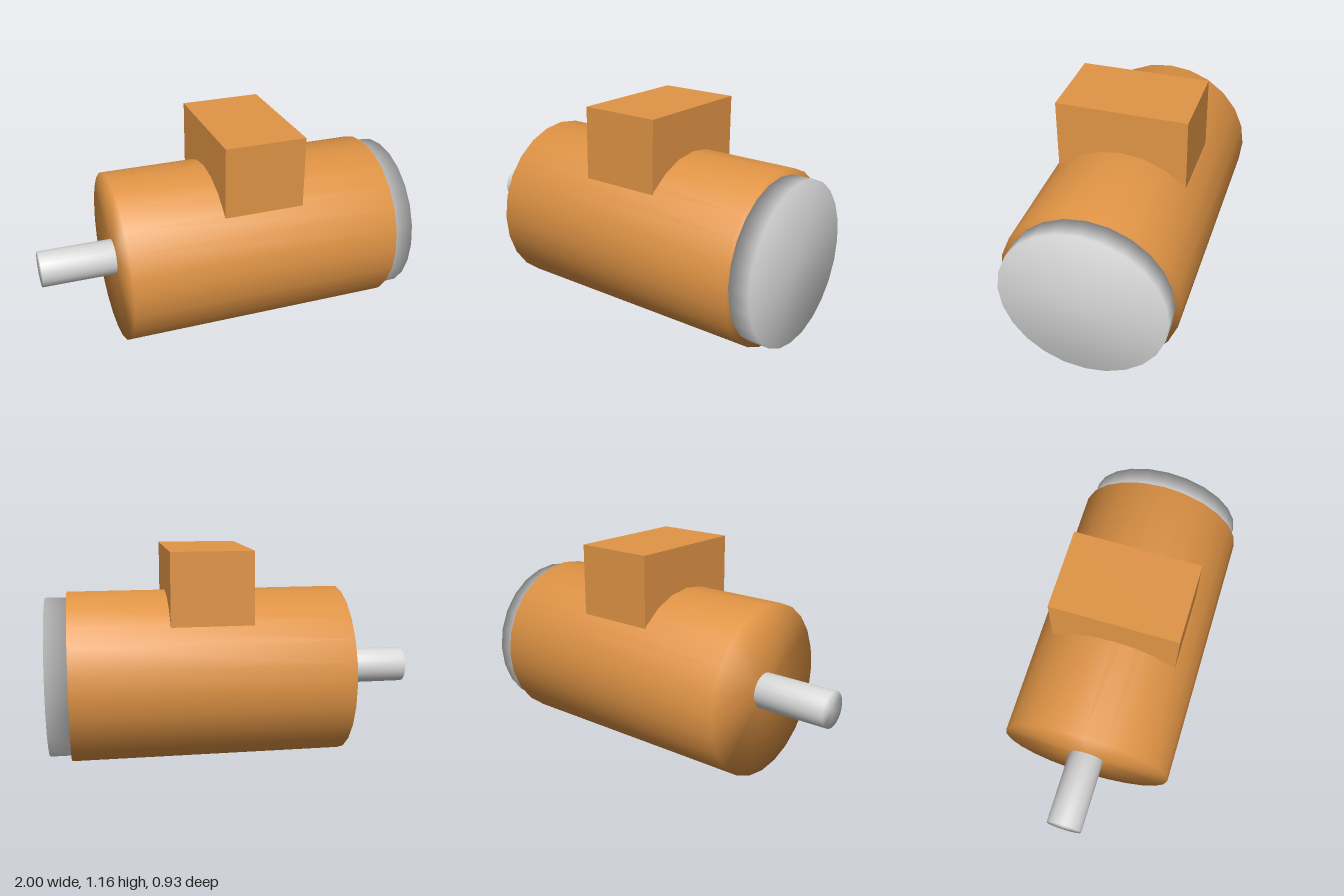
import * as THREE from 'three';
import { mergeVertices } from 'three/addons/utils/BufferGeometryUtils.js';

const AXIS_Y = 0.463; // height of the motor axis

// Cylinder along x between x0 and x1, with normals shared across the rim
function smoothCylinder(name, radius, x0, x1, material) {
  let geometry = new THREE.CylinderGeometry(radius, radius, x1 - x0, 24);
  geometry.deleteAttribute('uv');
  geometry.deleteAttribute('normal');
  geometry = mergeVertices(geometry);
  geometry.computeVertexNormals();
  geometry.rotateZ(-Math.PI / 2);
  const mesh = new THREE.Mesh(geometry, material);
  mesh.name = name;
  mesh.position.set((x0 + x1) / 2, AXIS_Y, 0);
  return mesh;
}

export function createModel() {
  const orange = new THREE.MeshStandardMaterial({ color: 0xe09445 });
  orange.name = 'orange paint';
  const silver = new THREE.MeshStandardMaterial({ color: 0xd9d9d9 });
  silver.name = 'silver metal';

  const motor = new THREE.Group();
  motor.name = 'electricMotor';

  // Housing, end cover and drive shaft share one axis
  motor.add(
    smoothCylinder('housing', 0.463, -0.6, 0.885, orange),
    smoothCylinder('endCover', 0.432, 0.885, 1, silver),
    smoothCylinder('driveShaft', 0.097, -1, -0.6, silver)
  );

  // Terminal box sunk into the top of the housing
  const box = new THREE.Mesh(new THREE.BoxGeometry(0.435, 0.385, 0.68), orange);
  box.name = 'terminalBox';
  box.position.set(0.143, 0.967, 0);
  motor.add(box);

  return motor;
}
